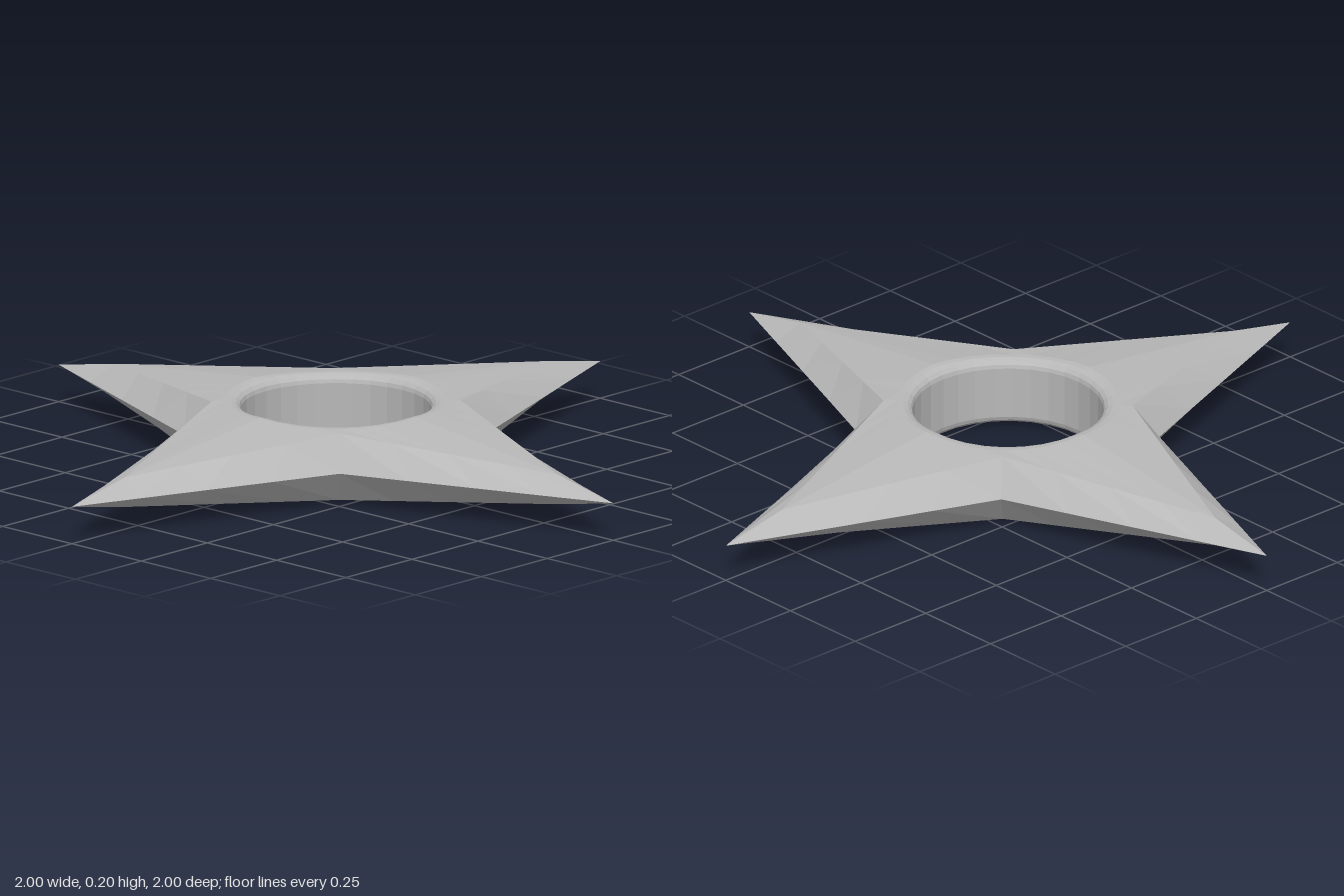
import * as THREE from 'three';

const STEPS = 4;            // samples per eighth of a turn
const COUNT = STEPS * 8;
const MID = 0.1;            // height of the cutting edge

// Closed four-pointed star loop; heights are measured from the mid plane
function starLoop(tip, tipH, valley, valleyH) {
  const corners = [];
  for (let k = 0; k < 8; k++) {
    const a = k * Math.PI / 4;
    const r = k % 2 ? valley * Math.SQRT2 : tip;
    corners.push(new THREE.Vector3(Math.cos(a) * r, k % 2 ? valleyH : tipH, -Math.sin(a) * r));
  }
  return Array.from({ length: COUNT }, (_, i) => {
    const k = Math.floor(i / STEPS);
    return corners[k].clone().lerp(corners[(k + 1) % 8], (i % STEPS) / STEPS);
  });
}

// Circle whose height dips a little between the arms
function rimLoop(r, h, dip) {
  return Array.from({ length: COUNT }, (_, i) => {
    const a = i / COUNT * Math.PI * 2;
    const d = Math.abs(Math.sin(2 * a)) * dip;
    return new THREE.Vector3(Math.cos(a) * r, h - d, -Math.sin(a) * r);
  });
}

const flip = (loop) => loop.map((p) => new THREE.Vector3(p.x, -p.y, p.z));

// Flat-faced skin through successive loops
function skin(loops) {
  const pos = [];
  for (let j = 0; j + 1 < loops.length; j++) {
    for (let i = 0; i < COUNT; i++) {
      const n = (i + 1) % COUNT;
      const a = loops[j][i], b = loops[j][n], c = loops[j + 1][i], d = loops[j + 1][n];
      for (const p of [a, b, c, b, d, c]) pos.push(p.x, p.y + MID, p.z);
    }
  }
  const g = new THREE.BufferGeometry();
  g.setAttribute('position', new THREE.Float32BufferAttribute(pos, 3));
  g.computeVertexNormals();
  return g;
}

export function createModel() {
  const group = new THREE.Group();
  const steel = new THREE.MeshStandardMaterial({ color: 0xb8b8b8 });
  steel.name = 'steel';

  const edge = starLoop(1, 0, 0.28, 0);
  const ridge = starLoop(0.8, 0.04, 0.23, 0.09);

  // Rounded lip from the face down into the hole
  const lip = [];
  for (let k = 0; k <= 4; k++) {
    const t = k / 4 * Math.PI / 2;
    lip.push(rimLoop(0.25 + 0.04 * (1 - Math.sin(t)), 0.07 + 0.03 * Math.cos(t), 0.008 * (1 - k / 4)));
  }
  const lowerLip = lip.map(flip).reverse();

  const add = (name, loops) => {
    const mesh = new THREE.Mesh(skin(loops), steel);
    mesh.name = name;
    group.add(mesh);
  };
  add('upperCuttingBevel', [edge, ridge]);
  add('upperFace', [ridge, lip[0]]);
  add('centreHole', [...lip, ...lowerLip]);
  add('lowerFace', [flip(lip[0]), flip(ridge)]);
  add('lowerCuttingBevel', [flip(ridge), edge]);
  return group;
}
